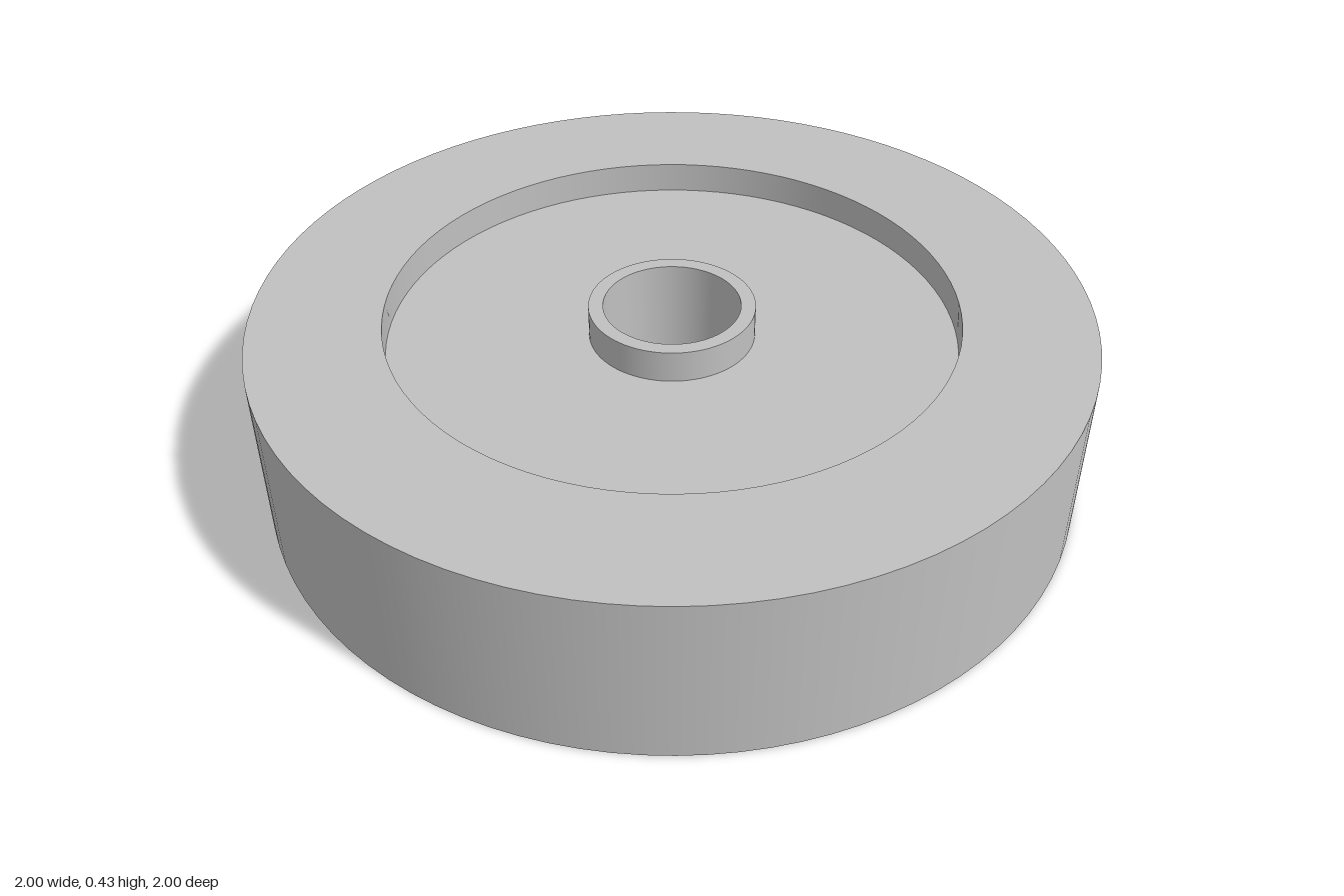
import * as THREE from 'three';
import { mergeGeometries } from 'three/addons/utils/BufferGeometryUtils.js';

const SEG = 96;
const HEIGHT = 0.425;
const RECESS_FLOOR = 0.345;
const HOLE_SINK = 0.163;
const HOLE_CIRCLE = 0.815;
const HOLE_ANGLES = [60, 180, 300].map(THREE.MathUtils.degToRad);

// Revolves a [radius, height] profile, one band per segment so the edges stay sharp
function revolve(profile, segments) {
  const bands = [];
  for (let i = 0; i < profile.length - 1; i++) {
    const pair = [profile[i], profile[i + 1]].map(([r, y]) => new THREE.Vector2(r, y));
    bands.push(new THREE.LatheGeometry(pair, segments));
  }
  return mergeGeometries(bands);
}

export function createModel() {
  const group = new THREE.Group();
  const grey = new THREE.MeshStandardMaterial({ color: 0xc0c0c0 });
  grey.name = 'plain grey';

  const add = (name, geometry) => {
    const mesh = new THREE.Mesh(geometry, grey);
    mesh.name = name;
    group.add(mesh);
    return mesh;
  };

  // Outer wall, flat rim and recessed floor
  add('discBody', revolve([
    [1, 0], [1, HEIGHT], [0.685, HEIGHT], [0.685, RECESS_FLOOR], [0.2, RECESS_FLOOR],
  ], SEG));

  // Raised central collar with a blind bore
  add('centreCollar', revolve([
    [0.2, RECESS_FLOOR], [0.2, HEIGHT], [0.165, HEIGHT], [0.165, 0.1], [0, 0.1],
  ], SEG));

  // Underside with openings for the three holes
  const base = new THREE.Shape().absarc(0, 0, 1, 0, Math.PI * 2, false);
  for (const a of HOLE_ANGLES) {
    base.holes.push(new THREE.Path().absarc(
      HOLE_CIRCLE * Math.cos(a), HOLE_CIRCLE * Math.sin(a), HOLE_SINK, 0, Math.PI * 2, true));
  }
  add('underside', new THREE.ShapeGeometry(base, SEG).rotateX(Math.PI / 2));

  // Countersunk blind holes: the profile runs down so its faces look inward
  const holeGeometry = revolve([
    [0, 0.32], [0.12, 0.32], [0.12, 0.042], [HOLE_SINK, 0],
  ], SEG);
  // Each wall must face the hole axis, so check the order of corners once
  HOLE_ANGLES.forEach((a, i) => {
    const hole = add(`countersunkHole${i + 1}`, holeGeometry);
    hole.position.set(HOLE_CIRCLE * Math.cos(a), 0, HOLE_CIRCLE * Math.sin(a));
  });

  return group;
}
